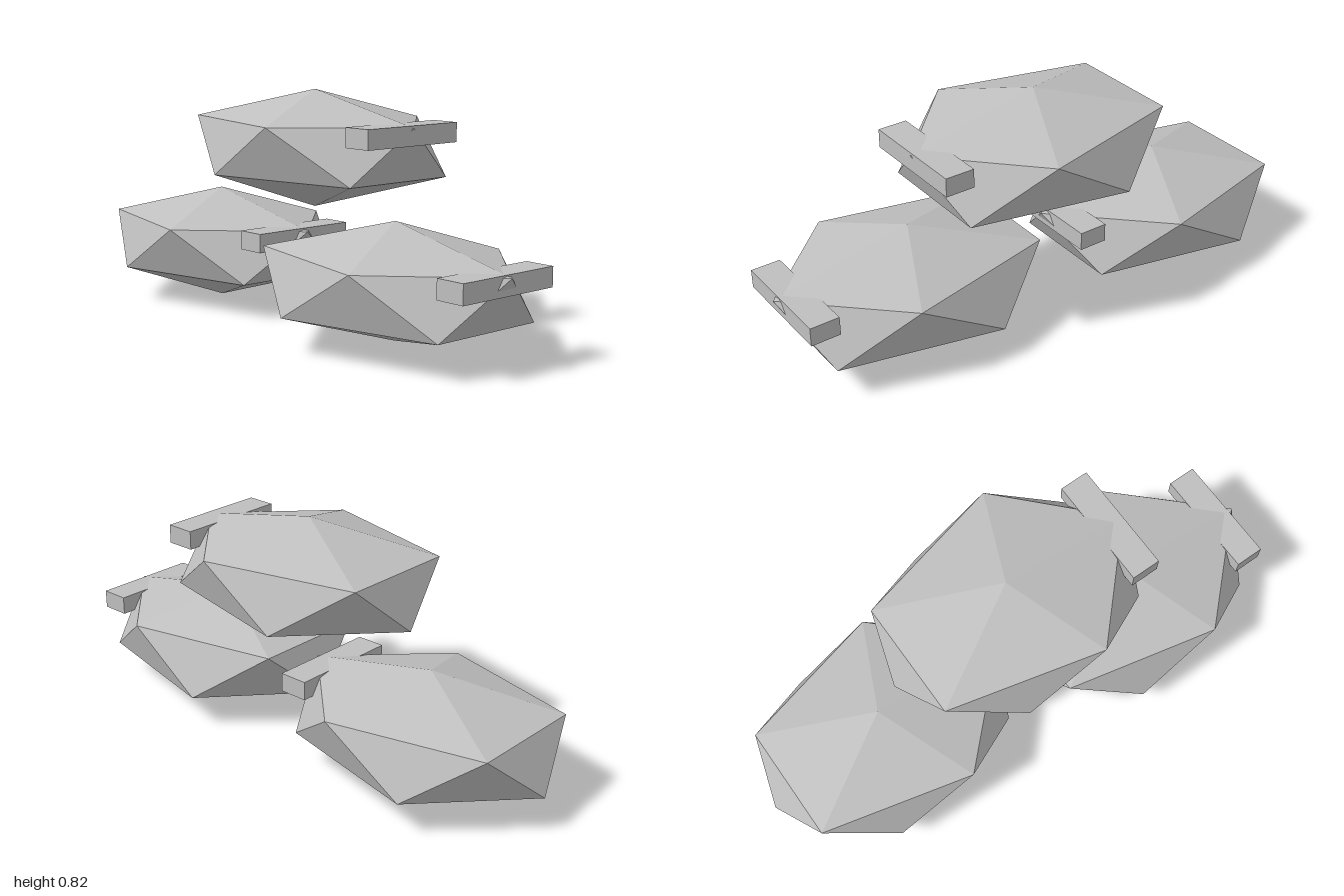
import * as THREE from 'three';

const grey = new THREE.MeshStandardMaterial({ color: 0xbfbfbf, flatShading: true });
grey.name = 'stone grey';

// Five-sided ring, mirrored about z0; starts at the lone vertex and turns from +x to +z (or -x to -z)
function ring(y, z0, [lone, mid, far], [wMid, wFar], s) {
  return [
    [lone, y, z0],
    [mid, y, z0 + s * wMid],
    [far, y, z0 + s * wFar],
    [far, y, z0 - s * wFar],
    [mid, y, z0 - s * wMid],
  ];
}

// Squashed twenty-sided body: two poles and two staggered rings
function sackGeometry({ x, z, top, bottom, upper, lower }) {
  const u = ring(...upper, 1);
  const raw = ring(...lower, -1);
  const l = [0, 1, 2, 3, 4].map((i) => raw[(i + 3) % 5]);
  const topPole = [x, top, z], bottomPole = [x, bottom, z];
  const pos = [];
  for (let i = 0; i < 5; i++) {
    const j = (i + 1) % 5;
    pos.push(...topPole, ...u[j], ...u[i]);
    pos.push(...u[i], ...u[j], ...l[i]);
    pos.push(...l[i], ...u[j], ...l[j]);
    pos.push(...bottomPole, ...l[i], ...l[j]);
  }
  const g = new THREE.BufferGeometry();
  g.setAttribute('position', new THREE.Float32BufferAttribute(pos, 3));
  g.computeVertexNormals();
  return g;
}

// Rings: height, z centre, x of lone / middle / far vertices, half widths of middle / far
const sacks = [
  {
    name: 'rightSack', x: -0.53, z: -0.033, top: 0.42, bottom: 0.002,
    upper: [0.31, -0.031, [-0.022, -0.375, -0.918], [0.35, 0.215]],
    lower: [0.127, -0.037, [-1.0, -0.68, -0.125], [0.343, 0.217]],
    tie: [-0.097, 0.287, -0.032],
  },
  {
    name: 'leftSack', x: 0.49, z: 0.036, top: 0.42, bottom: 0.021,
    upper: [0.31, 0.046, [0.997, 0.645, 0.085], [0.341, 0.215]],
    lower: [0.123, 0.041, [0.02, 0.335, 0.9], [0.352, 0.219]],
    tie: [0.925, 0.284, 0.036],
  },
  {
    name: 'topSack', x: 0.015, z: -0.032, top: 0.822, bottom: 0.408,
    upper: [0.718, -0.031, [0.504, 0.17, -0.382], [0.351, 0.215]],
    lower: [0.533, -0.04, [-0.445, -0.125, 0.43], [0.345, 0.222]],
    tie: [0.448, 0.693, -0.032],
  },
];

export function createModel() {
  const model = new THREE.Group();
  model.name = 'sackPile';
  for (const s of sacks) {
    const group = new THREE.Group();
    group.name = s.name;
    const body = new THREE.Mesh(sackGeometry(s), grey);
    body.name = 'body';
    // Bar across the closed end
    const tie = new THREE.Mesh(new THREE.BoxGeometry(0.106, 0.067, 0.407), grey);
    tie.name = 'tie';
    tie.position.set(...s.tie);
    group.add(body, tie);
    model.add(group);
  }
  return model;
}
